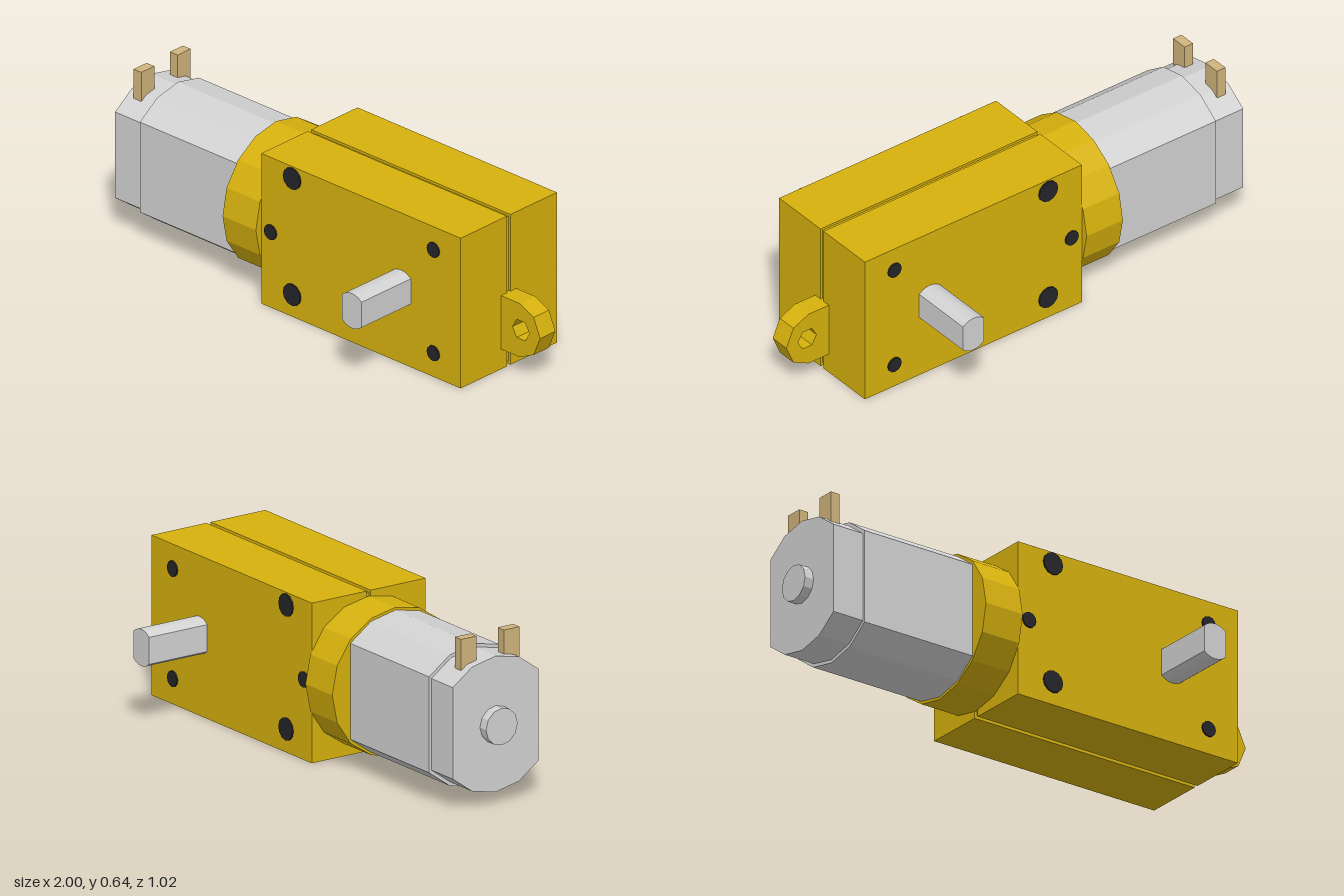
import * as THREE from 'three';

const AXIS_Y = 0.305; // height shared by motor, collar and axle

export function createModel() {
  const model = new THREE.Group();
  model.name = 'gearMotor';

  const material = (name, color) => {
    const m = new THREE.MeshStandardMaterial({ color });
    m.name = name;
    return m;
  };
  const yellow = material('yellowPlastic', 0xd6b10d);
  const silver = material('silverMetal', 0xd2d2d2);
  const black = material('blackScrew', 0x25252a);
  const brass = material('brassTerminal', 0xd0b47c);

  const add = (name, geometry, mat) => {
    const mesh = new THREE.Mesh(geometry, mat);
    mesh.name = name;
    model.add(mesh);
    return mesh;
  };
  const box = (name, mat, x0, x1, y0, y1, z0, z1) =>
    add(name, new THREE.BoxGeometry(x1 - x0, y1 - y0, z1 - z0), mat)
      .position.set((x0 + x1) / 2, (y0 + y1) / 2, (z0 + z1) / 2);

  // Points on an arc; a full turn gives a regular polygon
  const arc = (r, from, to, steps) =>
    Array.from({ length: steps + 1 }, (_, i) => {
      const a = from + ((to - from) * i) / steps;
      return new THREE.Vector2(r * Math.cos(a), r * Math.sin(a));
    });
  const polygon = (r, sides) => arc(r, 0, Math.PI * 2, sides).slice(0, -1);
  // Circle cut by two vertical flats at +-half
  const doubleD = (r, half, steps) => {
    const a = Math.acos(half / r);
    return [...arc(r, a, Math.PI - a, steps), ...arc(r, Math.PI + a, 2 * Math.PI - a, steps)];
  };
  const prism = (points, depth, hole) => {
    const shape = new THREE.Shape(points);
    if (hole) shape.holes.push(new THREE.Path(hole));
    return new THREE.ExtrudeGeometry(shape, { depth, bevelEnabled: false });
  };
  const prismX = (name, mat, points, x0, x1) =>
    add(name, prism(points, x1 - x0).rotateY(Math.PI / 2), mat).position.set(x0, AXIS_Y, 0);

  // Gearbox: two shells around a slightly inset core
  box('gearboxFrontShell', yellow, -0.18, 0.807, 0, 0.605, 0.009, 0.252);
  box('gearboxBackShell', yellow, -0.18, 0.807, 0, 0.605, -0.252, -0.009);
  box('gearboxCore', yellow, -0.17, 0.797, 0.012, 0.595, -0.01, 0.01);

  // Motor, running back along -x
  prismX('motorCollar', yellow, polygon(0.28, 16), -0.345, -0.18);
  prismX('motorCan', silver, doubleD(0.27, 0.2, 4), -0.83, -0.345);
  prismX('motorEndCap', silver, doubleD(0.257, 0.19, 4), -0.962, -0.83);
  prismX('motorBoss', silver, polygon(0.07, 12), -1, -0.962);
  for (const z of [-0.095, 0.095])
    box('terminal', brass, -0.928, -0.89, 0.5, 0.64, z - 0.034, z + 0.034);

  // Output axle with two flats, through both sides
  add('axle', prism(doubleD(0.07, 0.048, 6), 1.02), silver).position.set(0.512, AXIS_Y, -0.51);

  // Mounting ear with hexagonal hole
  const ear = [[0.79, 0.08], [0.9, 0.08], [0.968, 0.113], [1, 0.19], [0.968, 0.264], [0.9, 0.296], [0.79, 0.296]]
    .map(([x, y]) => new THREE.Vector2(x, y));
  const hole = polygon(0.042, 6).map((p) => p.add(new THREE.Vector2(0.905, 0.191)));
  add('mountingEar', prism(ear, 0.08, hole), yellow).position.z = -0.04;

  // Screw heads on both faces
  const screws = [
    [-0.025, 0.558, 0.043], [-0.025, 0.09, 0.043],
    [0.674, 0.513, 0.03], [0.674, 0.097, 0.03], [-0.132, 0.305, 0.03],
  ];
  for (const [x, y, r] of screws)
    for (const z of [-0.258, 0.25])
      add('screwHead', prism(polygon(r, 12), 0.008), black).position.set(x, y, z);

  return model;
}
